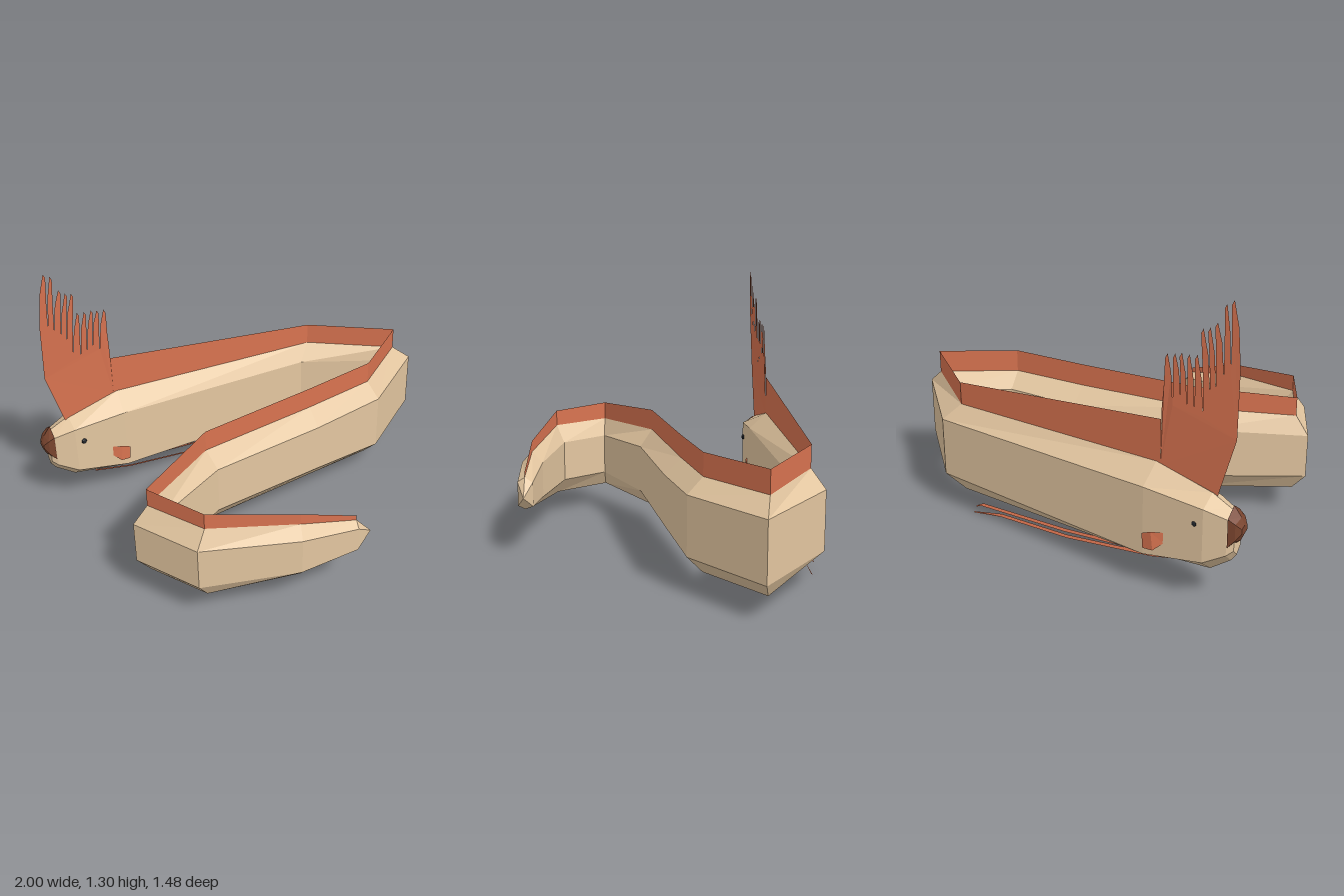
import * as THREE from 'three';

const mat = (color) => new THREE.MeshStandardMaterial({ color, flatShading: true, side: THREE.DoubleSide });
const skin = mat(0xe3c6a0), finMat = mat(0xd87350), lipMat = mat(0x7a452f), dark = mat(0x22262c);

// Stations from snout to tail: [ridge x,z, side a x,z, side b x,z, top, upper, lower, bottom, fin top]
const HEAD = [
  [-0.97, -0.64, -0.97, -0.67, -0.97, -0.61, 0.41, 0.39, 0.27, 0.24],
  [-0.945, -0.64, -0.945, -0.69, -0.945, -0.59, 0.44, 0.415, 0.25, 0.205],
  [-0.85, -0.637, -0.85, -0.717, -0.85, -0.56, 0.487, 0.445, 0.2, 0.135],
];
const TRUNK = [
  [-0.58, -0.63, -0.57, -0.72, -0.59, -0.54, 0.555, 0.47, 0.155, 0.115, 0.75],
  [0.53, -0.565, 0.61, -0.615, 0.46, -0.515, 0.535, 0.455, 0.17, 0.088, 0.645],
  [0.905, -0.285, 1.0, -0.255, 0.82, -0.315, 0.53, 0.455, 0.17, 0.09, 0.64],
  [0.58, -0.065, 0.6, 0.01, 0.565, -0.14, 0.53, 0.455, 0.17, 0.09, 0.64],
  [0.2, -0.03, 0.2, 0.05, 0.2, -0.11, 0.52, 0.44, 0.19, 0.1, 0.63],
  [-0.42, 0.025, -0.395, 0.09, -0.44, -0.035, 0.52, 0.435, 0.195, 0.11, 0.625],
  [-0.83, 0.235, -0.77, 0.245, -0.9, 0.225, 0.5, 0.415, 0.205, 0.125, 0.59],
  [-0.69, 0.51, -0.635, 0.475, -0.745, 0.54, 0.5, 0.415, 0.207, 0.125, 0.58],
  [-0.29, 0.655, -0.27, 0.605, -0.31, 0.705, 0.455, 0.4, 0.222, 0.168, 0.51],
  [-0.02, 0.7, -0.01, 0.662, -0.03, 0.735, 0.395, 0.37, 0.25, 0.235, 0.42],
  [0.055, 0.71, 0.055, 0.71, 0.055, 0.71, 0.31, 0.31, 0.31, 0.31, 0.31],
];

function geometry(points, index) {
  const g = new THREE.BufferGeometry();
  g.setAttribute('position', new THREE.Float32BufferAttribute(points.flat(), 3));
  g.setIndex(index);
  const flat = g.toNonIndexed();
  flat.computeVertexNormals();
  return flat;
}

// Six-sided skin through the stations, closed at both ends
function loft(stations) {
  const points = [], index = [];
  for (const [x, z, ax, az, bx, bz, top, up, low, bot] of stations)
    points.push([x, top, z], [ax, up, az], [ax, low, az], [x, bot, z], [bx, low, bz], [bx, up, bz]);
  for (let i = 0; i < stations.length - 1; i++)
    for (let j = 0; j < 6; j++) {
      const a = i * 6 + j, b = i * 6 + (j + 1) % 6;
      index.push(a, a + 6, b + 6, a, b + 6, b);
    }
  const e = points.length - 6;
  for (let j = 1; j < 5; j++) index.push(0, j, j + 1, e, e + j + 1, e + j);
  return geometry(points, index);
}

// Flat strip between pairs of lower and upper points
function strip(pairs) {
  const index = [];
  for (let i = 0; i < pairs.length - 1; i++) {
    const a = i * 2;
    index.push(a, a + 2, a + 3, a, a + 3, a + 1);
  }
  return geometry(pairs.flat(), index);
}

export function createModel() {
  const group = new THREE.Group();
  const add = (name, geo, material) => {
    const mesh = new THREE.Mesh(geo, material);
    mesh.name = name;
    group.add(mesh);
    return mesh;
  };

  add('body', loft([...HEAD, ...TRUNK]), skin);

  // Dark upturned lips around the snout
  add('mouth', loft([
    [-1.0, -0.64, -1.0, -0.665, -1.0, -0.615, 0.385, 0.375, 0.355, 0.345],
    [-0.985, -0.64, -0.98, -0.685, -0.98, -0.595, 0.415, 0.4, 0.325, 0.31],
    [-0.95, -0.64, -0.95, -0.694, -0.95, -0.586, 0.46, 0.42, 0.29, 0.28],
  ]), lipMat);

  // Long fin standing on the ridge of the back
  const fin = TRUNK.slice(0, -1).map((s) => [[s[0], s[6] - 0.005, s[1]], [s[0], s[10], s[1]]]);
  fin[0] = [[-0.6, 0.545, -0.63], [-0.6, 0.75, -0.63]];
  add('dorsalFin', strip(fin), finMat);

  // Head crest: ray tips, each followed by the notch behind it
  const rays = [
    [-0.89, 1.3, -0.9, 1.0], [-0.86, 1.28, -0.87, 0.99], [-0.825, 1.2, -0.84, 0.92],
    [-0.795, 1.175, -0.815, 0.9], [-0.765, 1.165, -0.79, 0.8], [-0.745, 1.055, -0.75, 0.82],
    [-0.71, 1.05, -0.715, 0.83], [-0.675, 1.05, -0.685, 0.85], [-0.645, 1.04, -0.65, 0.82],
    [-0.61, 1.035, -0.605, 0.9],
  ];
  const crest = new THREE.Shape();
  crest.moveTo(-0.87, 0.475).lineTo(-0.945, 0.74).lineTo(-0.94, 1.03);
  let px = -0.94, py = 1.03;
  for (const [tx, ty, nx, ny] of rays) {
    const mid = (py + ty) / 2 + 0.03;
    crest.lineTo(px * 0.65 + tx * 0.35, mid);
    crest.lineTo(tx - 0.006, ty);
    crest.lineTo(tx + 0.004, ty - 0.02);
    crest.lineTo(nx * 0.6 + tx * 0.4 + 0.002, (ny + ty) / 2);
    crest.lineTo(nx, ny);
    [px, py] = [nx, ny];
  }
  crest.lineTo(-0.6, 0.8).lineTo(-0.6, 0.545);
  const crestGeo = new THREE.ShapeGeometry(crest);
  const pos = crestGeo.attributes.position;
  for (let i = 0; i < pos.count; i++)
    pos.setZ(i, -0.63 + Math.max(0, pos.getY(i) - 0.75) * 0.055);
  crestGeo.computeVertexNormals();
  add('headCrest', crestGeo, finMat);

  // Two trailing belly streamers
  const streamers = [
    [[-0.65, 0.13], [-0.45, 0.097], [-0.1, 0.07], [0.38, 0.06], [0.42, 0.048]],
    [[-0.75, 0.125], [-0.55, 0.08], [-0.1, 0.03], [0.28, 0.025], [0.45, 0]],
  ];
  streamers.forEach((path, i) => {
    const z = -0.625 + i * 0.015;
    add('bellyStreamer', strip(path.map(([x, y], k) =>
      [[x, y, z], [x, y + (k === path.length - 1 ? 0.003 : 0.013), z + 0.006]])), finMat);
  });

  // Pectoral fins and eyes on both sides of the head
  for (const s of [-1, 1]) {
    const z = (d) => -0.633 + s * d;
    add('pectoralFin', strip([
      [[-0.67, 0.235, z(0.085)], [-0.67, 0.285, z(0.085)]],
      [[-0.63, 0.2, z(0.107)], [-0.62, 0.285, z(0.107)]],
      [[-0.58, 0.195, z(0.104)], [-0.575, 0.265, z(0.104)]],
    ]), finMat);
    const eye = add('eye', new THREE.SphereGeometry(0.014, 8, 6), dark);
    eye.position.set(-0.81, 0.37, z(0.08));
    eye.scale.z = 0.6;
  }
  return group;
}
